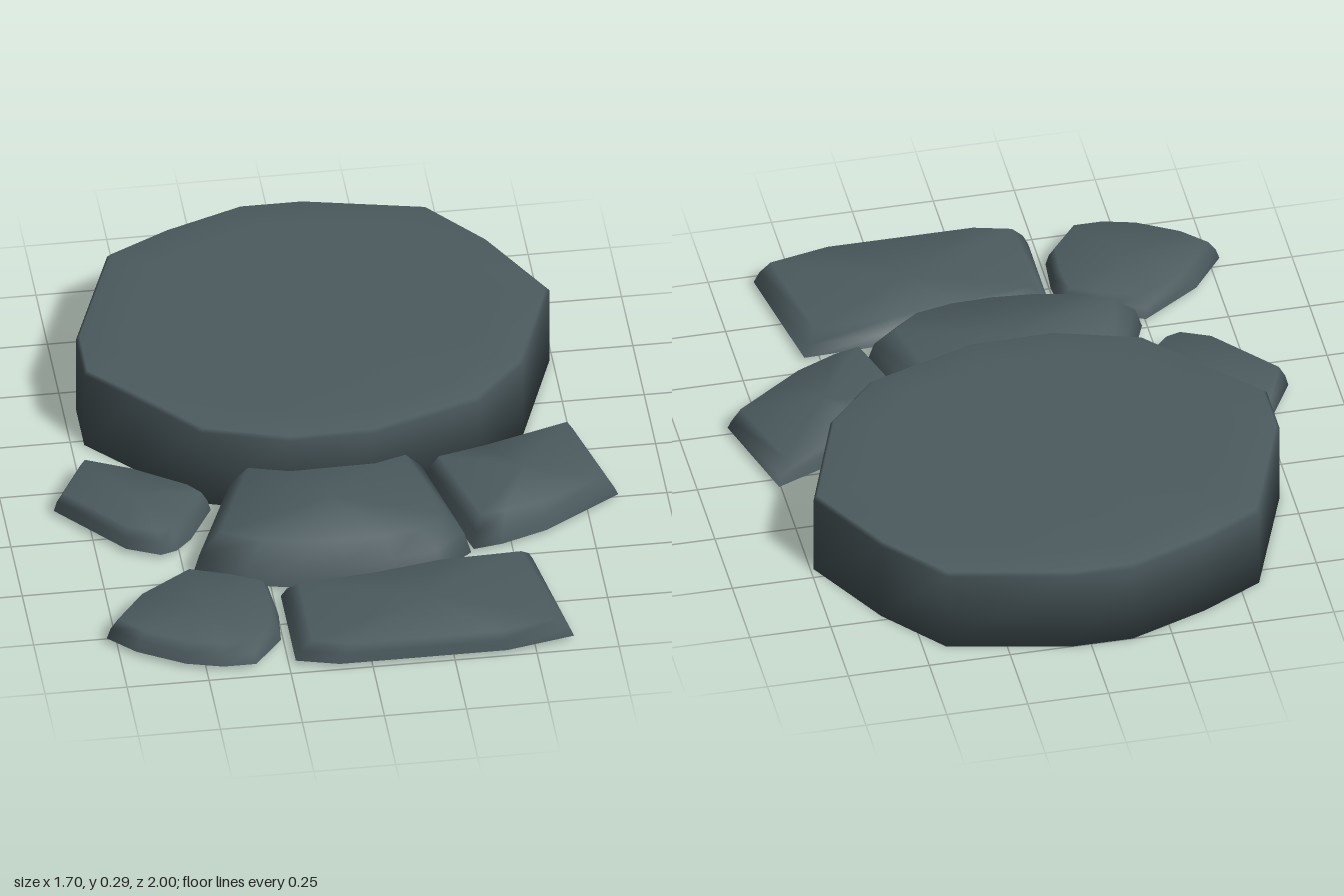
import * as THREE from 'three';

const stone = new THREE.MeshStandardMaterial({ color: 0x4c5b5f });
stone.name = 'slate stone';

// A worn slab: a ground outline of [x, z] corners, stacked as rings of [scale, height].
// Sides and top share vertices for soft shading; the underside is soft or sharp.
function slab(name, outline, rings, topY, { pivot, tilt = 0, softBase = false } = {}) {
  const n = outline.length;
  let area = 0, cx = 0, cz = 0;
  outline.forEach(([x, z], i) => {
    const [u, v] = outline[(i + 1) % n];
    const k = x * v - u * z;
    area += k / 2;
    cx += (x + u) * k;
    cz += (z + v) * k;
  });
  cx /= 6 * area;
  cz /= 6 * area;
  const pts = area > 0 ? [...outline].reverse() : outline;
  const [px, pz] = pivot || [cx, cz];
  const pos = [], index = [];
  const addRing = ([s, y], level) => {
    for (const [x, z] of pts) {
      pos.push(px + (x - px) * s, y + (level ? tilt * (x - px) : 0), pz + (z - pz) * s);
    }
  };
  rings.forEach(addRing);
  for (let r = 0; r < rings.length - 1; r++) {
    for (let i = 0; i < n; i++) {
      const a = r * n + i, b = r * n + (i + 1) % n;
      index.push(a, b, b + n, a, b + n, a + n);
    }
  }
  // Top cap
  const last = (rings.length - 1) * n, top = pos.length / 3;
  pos.push(cx, topY, cz);
  for (let i = 0; i < n; i++) index.push(last + i, last + (i + 1) % n, top);
  // Underside
  let base = 0;
  if (!softBase) {
    base = pos.length / 3;
    addRing(rings[0], 0);
  }
  const bottom = pos.length / 3;
  pos.push(cx, rings[0][1], cz);
  for (let i = 0; i < n; i++) index.push(base + (i + 1) % n, base + i, bottom);

  const g = new THREE.BufferGeometry();
  g.setAttribute('position', new THREE.Float32BufferAttribute(pos, 3));
  g.setIndex(index);
  g.computeVertexNormals();
  const mesh = new THREE.Mesh(g, stone);
  mesh.name = name;
  return mesh;
}

export function createModel() {
  const group = new THREE.Group();
  group.name = 'steppingStones';
  const low = [[1, 0.02], [0.96, 0.055], [0.88, 0.088]];

  group.add(
    // Large round platform
    slab('largeStone', [
      [-0.13, -1], [0.06, -1], [0.43, -0.92], [0.59, -0.73], [0.74, -0.46],
      [0.61, -0.1], [0.45, 0.07], [0.12, 0.185], [-0.14, 0.19], [-0.4, 0.11],
      [-0.57, -0.08], [-0.71, -0.23], [-0.71, -0.41], [-0.56, -0.81], [-0.37, -0.91],
    ], [[1, 0.003], [1, 0.268], [0.985, 0.28], [0.8, 0.289]], 0.292, { softBase: true }),

    // Step in front of the platform
    slab('middleStep', [
      [-0.32, 0.1], [0.28, 0.1], [0.37, 0.49], [0.27, 0.57], [0.13, 0.6],
      [-0.03, 0.605], [-0.2, 0.59], [-0.33, 0.56], [-0.48, 0.49],
    ], [[1, 0.02], [0.95, 0.09], [0.8, 0.153]], 0.168),

    // Side stones
    slab('rightSideStone', [
      [-0.75, -0.07], [-0.6, 0], [-0.42, 0.12], [-0.38, 0.17], [-0.46, 0.31],
      [-0.51, 0.36], [-0.56, 0.375], [-0.66, 0.33], [-0.85, 0.11],
    ], low, 0.098),
    slab('leftSideStone', [
      [0.76, -0.06], [0.85, 0.26], [0.61, 0.41], [0.47, 0.46], [0.38, 0.475],
      [0.28, 0.13], [0.45, 0.07],
    ], [[1, 0.02], [0.96, 0.065], [0.86, 0.11]], 0.12, { tilt: -0.07 }),

    // Front stones
    slab('frontRightStone', [
      [-0.5, 0.52], [-0.36, 0.57], [-0.26, 0.62], [-0.25, 0.73], [-0.26, 0.85],
      [-0.35, 0.96], [-0.45, 0.96], [-0.56, 0.93], [-0.7, 0.85], [-0.78, 0.77], [-0.68, 0.64],
    ], low, 0.098),
    slab('frontLeftStone', [
      [-0.23, 0.63], [0.05, 0.6], [0.27, 0.56], [0.55, 0.55], [0.62, 0.95],
      [0.41, 0.995], [-0.1, 0.995], [-0.23, 0.96],
    ], low, 0.098, { pivot: [0.19, 0.93] }),
  );
  return group;
}
